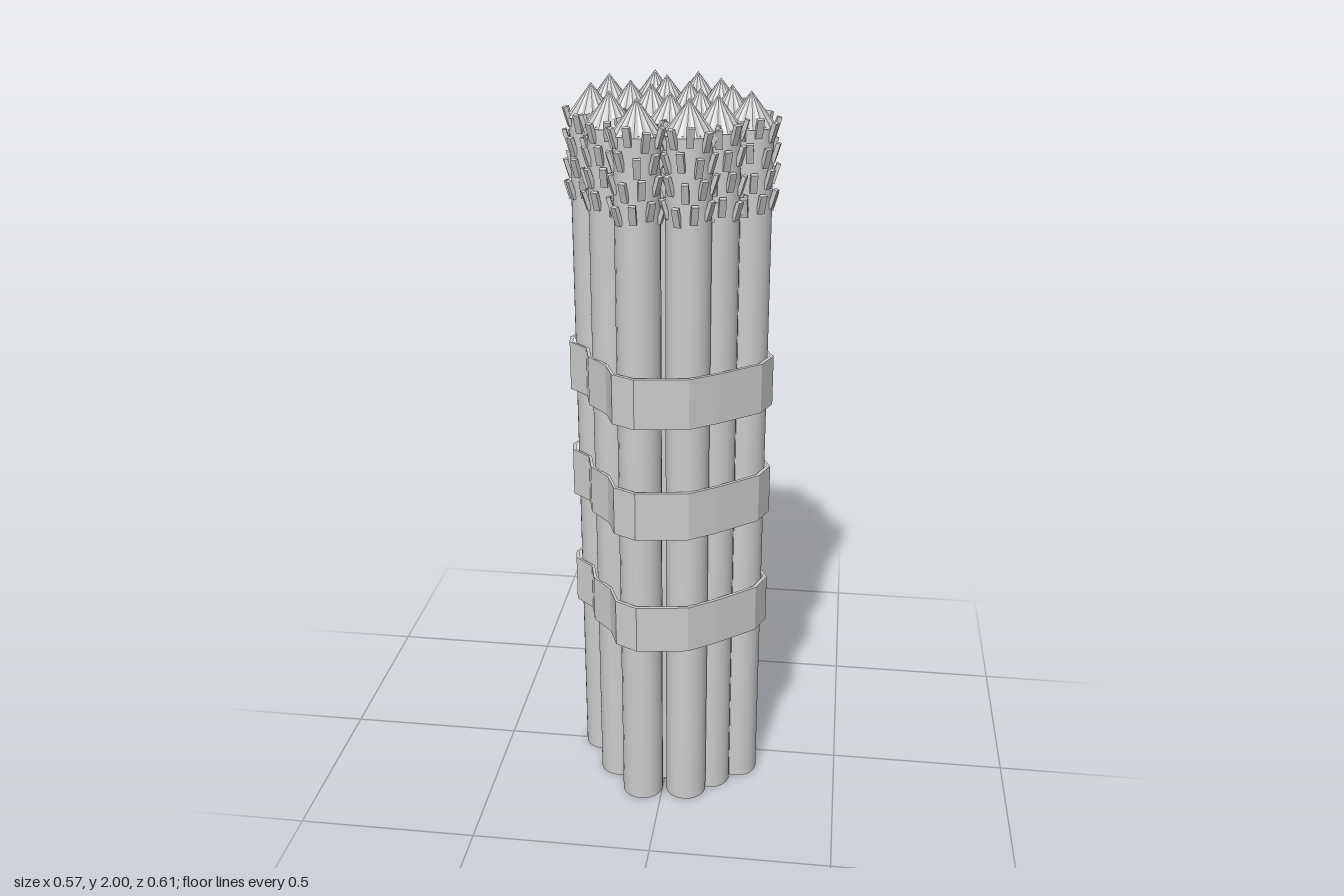
import * as THREE from 'three';

const material = new THREE.MeshStandardMaterial({ color: 0xcccccc });
const flat = new THREE.MeshStandardMaterial({ color: 0xcccccc, flatShading: true });

// Stalk centres (x, z)
const CENTRES = [
  [-0.075, -0.237], [0.043, -0.222], [-0.186, -0.158], [-0.032, -0.158], [0.114, -0.119],
  [-0.113, -0.054], [0.039, -0.054], [-0.207, -0.004], [-0.052, -0.004], [0.152, -0.012],
  [0.079, 0.056], [0.207, 0.078], [-0.139, 0.119], [0.011, 0.117], [0.132, 0.144],
  [-0.057, 0.219], [0.068, 0.206],
];

// Outline of a tie (x, z), following the outer stalks
const TIE = [
  [-0.234, -0.219], [-0.146, -0.272], [-0.08, -0.304], [0, -0.296], [0.06, -0.292],
  [0.118, -0.222], [0.15, -0.178], [0.185, -0.13], [0.197, -0.08], [0.216, -0.053],
  [0.252, 0.01], [0.281, 0.075], [0.255, 0.14], [0.15, 0.228], [0.08, 0.277],
  [-0.01, 0.29], [-0.06, 0.297], [-0.122, 0.265], [-0.148, 0.2], [-0.205, 0.14],
  [-0.222, 0.075], [-0.276, 0.03], [-0.283, -0.01], [-0.253, -0.07], [-0.268, -0.14],
];

function named(mesh, name) {
  mesh.name = name;
  return mesh;
}

const stemGeo = new THREE.CylinderGeometry(0.058, 0.058, 1.92, 20).translate(0, 0.96, 0);
const scaleGeo = new THREE.BoxGeometry(0.018, 0.05, 0.011);

// Pointed tip of overlapping leaves: the rim steps in and out
function tipGeometry() {
  const geo = new THREE.ConeGeometry(0.063, 0.085, 32, 1).translate(0, 1.9575, 0);
  const p = geo.attributes.position;
  for (let i = 0; i < p.count; i++) {
    const x = p.getX(i), z = p.getZ(i);
    if (Math.hypot(x, z) < 0.01) continue;
    const step = Math.round((Math.atan2(z, x) / (Math.PI * 2)) * 32 + 32) % 2;
    const k = step ? 0.95 : 1.03;
    p.setXYZ(i, x * k, p.getY(i), z * k);
  }
  geo.computeVertexNormals();
  return geo;
}
const tipGeo = tipGeometry();

function createStalk(x, z, index) {
  const stalk = new THREE.Group();
  stalk.name = 'stalk';
  stalk.add(named(new THREE.Mesh(stemGeo, material), 'stem'));
  stalk.add(named(new THREE.Mesh(tipGeo, flat), 'tip'));
  // Staggered rows of small scales leaning outward
  const rows = 4, perRow = 9;
  for (let r = 0; r < rows; r++) {
    for (let i = 0; i < perRow; i++) {
      const a = ((i + r * 0.5 + (r > 1 ? 0.25 : 0)) / perRow) * Math.PI * 2;
      const scale = named(new THREE.Mesh(scaleGeo, flat), 'scale');
      const y = 1.725 + r * 0.06 + (i % 3) * 0.007;
      scale.position.set(Math.sin(a) * 0.064, y, Math.cos(a) * 0.064);
      scale.rotation.set(0.3, a, 0, 'YXZ');
      stalk.add(scale);
    }
  }
  stalk.position.set(x, 0, z);
  stalk.rotation.y = index * 0.37;
  return stalk;
}

// Flat strap wrapped round the bundle
function tieGeometry(height) {
  const outline = (k) => TIE.map(([x, z]) => new THREE.Vector2(x * k, -z * k));
  const shape = new THREE.Shape(outline(1));
  shape.holes.push(new THREE.Path(outline(0.965)));
  return new THREE.ExtrudeGeometry(shape, { depth: height, bevelEnabled: false }).rotateX(-Math.PI / 2);
}

export function createModel() {
  const model = new THREE.Group();
  model.name = 'stalkBundle';
  CENTRES.forEach(([x, z], i) => model.add(createStalk(x, z, i)));

  const tieGeo = tieGeometry(0.137);
  for (const y of [0.513, 0.858, 1.177]) {
    const tie = named(new THREE.Mesh(tieGeo, material), 'tie');
    tie.position.y = y;
    model.add(tie);
  }
  return model;
}
